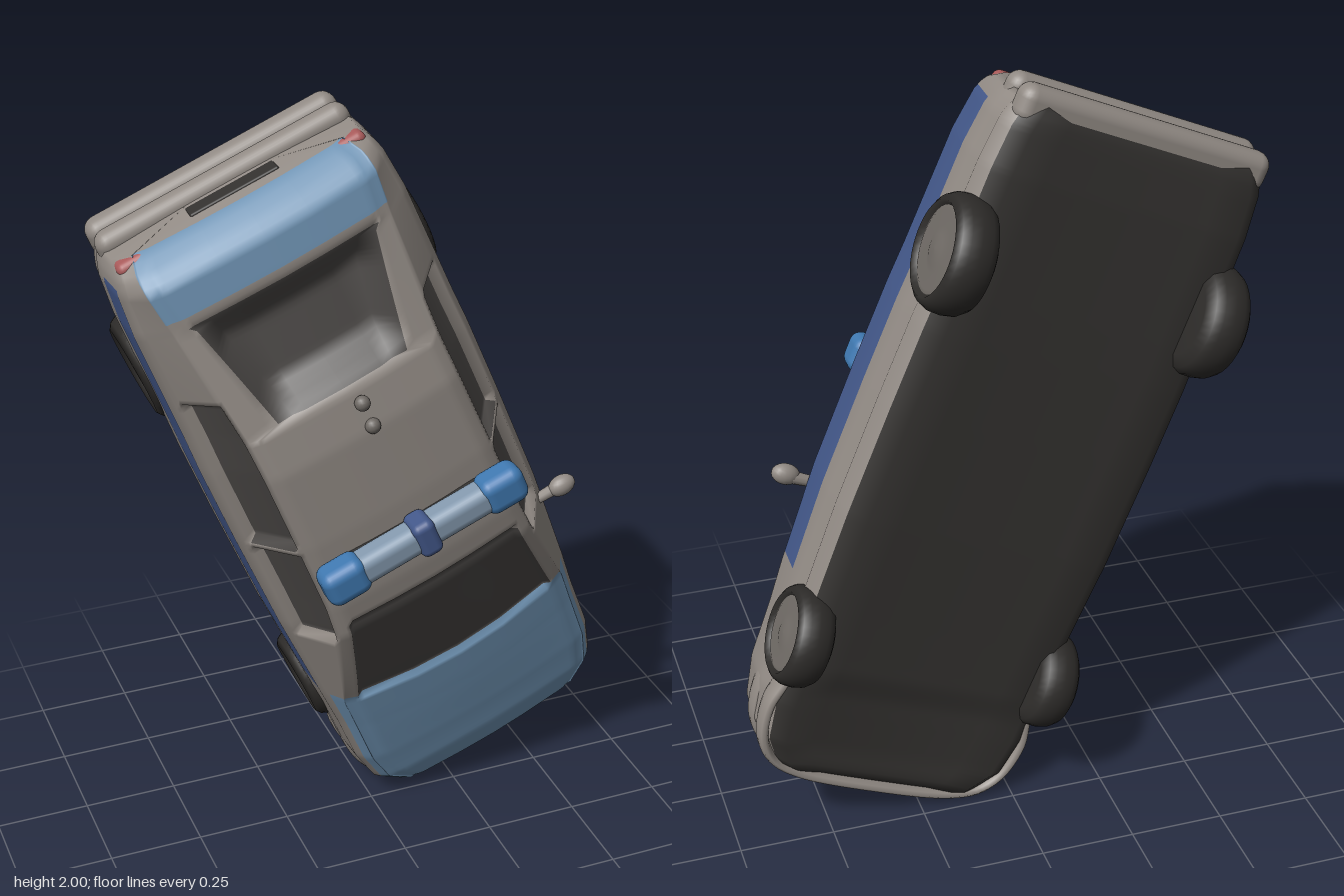
import * as THREE from 'three';
import { RoundedBoxGeometry } from 'three/addons/geometries/RoundedBoxGeometry.js';

const mat = (color) => new THREE.MeshStandardMaterial({ color });
const paint = mat(0x918a84), dark = mat(0x33312f), glass = mat(0x4b4846), blue = mat(0x6f93b3);
const stripe = mat(0x43588a), red = mat(0xa85a5a), lampBlue = mat(0x3f78b0), rubber = mat(0x2d2b29), rim = mat(0x6f6a65);
const { lerp, smoothstep } = THREE.MathUtils;

// Stations along the car, nose to tail:
// [y, half width, floor z, belt z, top half width, top z]
const stations = [
  [-0.966, 0.24, -0.21, -0.06, 0.18, -0.035],
  [-0.94, 0.305, -0.235, -0.03, 0.26, -0.005],
  [-0.87, 0.358, -0.248, 0.0, 0.315, 0.025],
  [-0.76, 0.378, -0.25, 0.02, 0.335, 0.05],
  [-0.6, 0.378, -0.25, 0.04, 0.335, 0.08],
  [-0.48, 0.383, -0.252, 0.055, 0.335, 0.105],
  [-0.2, 0.393, -0.258, 0.07, 0.28, 0.235],
  [-0.1, 0.393, -0.258, 0.07, 0.27, 0.25],
  [0.1, 0.393, -0.258, 0.07, 0.265, 0.256],
  [0.32, 0.39, -0.257, 0.07, 0.26, 0.25],
  [0.43, 0.385, -0.255, 0.07, 0.26, 0.23],
  [0.74, 0.377, -0.245, 0.07, 0.285, 0.145],
  [0.85, 0.365, -0.235, 0.06, 0.3, 0.125],
  [0.885, 0.353, -0.23, 0.05, 0.3, 0.085],
  [0.915, 0.335, -0.215, 0.0, 0.28, 0.025],
];
const inRange = (v, a, b) => v > a && v < b;
const sideWindow = (y) => inRange(y, -0.22, 0.07) || inRange(y, 0.1, 0.53);
const windshield = (y) => inRange(y, -0.47, -0.17);
const rearWindow = (y) => inRange(y, 0.44, 0.74);

function station(y) {
  let i = 0;
  while (i < stations.length - 2 && y > stations[i + 1][0]) i++;
  const a = stations[i], b = stations[i + 1], t = (y - a[0]) / (b[0] - a[0]);
  return a.map((v, k) => lerp(v, b[k], t));
}

// Half of a cross-section, from the middle of the floor to the middle of the roof
function halfSection(y) {
  const [, w, floor, belt, tw, top] = station(y);
  const h = (f) => lerp(floor, belt, f);
  const side = (f, inset = 0) => [lerp(0.95 * w, tw, f) - inset, lerp(belt, top, f) - inset * 0.4];
  const pane = sideWindow(y) ? 0.022 : 0;
  // the rear window is a hollow with sloping walls, the windshield a shallow step
  const dip = 0.075 * smoothstep(y, 0.43, 0.52) * (1 - smoothstep(y, 0.64, 0.76)) + (windshield(y) ? 0.018 : 0);
  // shallow pan under the nose
  const pan = 0.01 + 0.015 * smoothstep(y, -0.93, -0.86) * (1 - smoothstep(y, -0.72, -0.62));
  const rear = rearWindow(y), inner = rear ? lerp(0.68, 0.86, (y - 0.44) / 0.3) : 0.9;
  return [
    [0, floor + pan], [0.6 * w, floor + pan], [0.83 * w, floor], [0.94 * w, h(0.11)],
    [0.985 * w, h(0.27)], [0.97 * w, h(0.33)], [w, h(0.42)], [w, h(0.6)], [0.985 * w, h(0.93)],
    [0.95 * w, belt], side(0.08), side(0.13, pane), side(0.84, pane), side(0.9),
    [tw, top - 0.008], [lerp(inner, 1, 0.3) * tw, top], [inner * tw, top + 0.003],
    [(inner - (rear ? 0.16 : 0.05)) * tw, top + 0.005 - dip], [0.4 * tw, top + 0.013 - dip], [0, top + 0.016 - dip],
  ];
}

// Which part a patch of the body skin belongs to
function partAt(y, k) {
  if (k < 3) return 'underbody';
  if (k === 7 && inRange(y, -0.45, 0.86)) return 'sideStripe';
  if (k === 11 && sideWindow(y)) return 'sideWindows';
  if (k >= 16 && windshield(y)) return 'windshield';
  if (k >= 16 && rearWindow(y)) return 'rearWindow';
  if (k >= 10 && y < -0.47) return 'hood';
  if (k >= 12 && y > 0.77) return 'trunkLid';
  return 'bodyPanels';
}

function buildBody() {
  const ys = [], first = stations[0][0], last = stations.at(-1)[0], rows = 140;
  for (let i = 0; i <= rows; i++) ys.push(lerp(first, last, i / rows));
  const pos = [];
  let ring = 0, half = 0;
  for (const y of ys) {
    const s = halfSection(y);
    half = s.length - 1;
    const loop = [...s, ...s.slice(1, -1).reverse().map(([x, z]) => [-x, z])];
    ring = loop.length;
    // the windshield bows forward in the middle
    const bow = 0.05 * smoothstep(-y, 0.1, 0.45) * (1 - smoothstep(-y, 0.55, 0.85));
    for (const [x, z] of loop) pos.push(x, y - (z > 0 ? bow * (1 - (x / 0.4) ** 2) : 0), z);
  }
  const faces = {};
  const add = (name, ...ids) => (faces[name] ??= []).push(...ids);
  for (let i = 0; i < rows; i++) for (let j = 0; j < ring; j++) {
    const a = i * ring + j, b = i * ring + (j + 1) % ring, c = a + ring, d = b + ring;
    add(partAt((ys[i] + ys[i + 1]) / 2, j < half ? j : ring - 1 - j), a, c, b, b, c, d);
  }
  // nose and tail caps
  const n = pos.length / 3;
  pos.push(0, first - 0.008, -0.13, 0, last + 0.012, -0.1);
  for (let j = 0; j < ring; j++) {
    const k = (j + 1) % ring, e = rows * ring;
    add('bodyPanels', n, j, k, n + 1, e + k, e + j);
  }
  const whole = new THREE.BufferGeometry();
  whole.setAttribute('position', new THREE.Float32BufferAttribute(pos, 3));
  whole.setIndex(Object.values(faces).flat());
  whole.computeVertexNormals();
  const mats = { underbody: dark, sideStripe: stripe, sideWindows: glass, windshield: glass, rearWindow: glass, hood: blue, trunkLid: blue };
  const body = new THREE.Group();
  body.name = 'body';
  for (const [name, ids] of Object.entries(faces)) {
    const g = new THREE.BufferGeometry();
    g.setAttribute('position', whole.getAttribute('position'));
    g.setAttribute('normal', whole.getAttribute('normal'));
    g.setIndex(ids);
    const m = new THREE.Mesh(g, mats[name] ?? paint);
    m.name = name;
    body.add(m);
  }
  return body;
}

// w is half the wheel's width
function buildWheel(name, side, x, y, z, r, w) {
  const wheel = new THREE.Group();
  wheel.name = name;
  const lathe = (pts, m, part) => {
    const mesh = new THREE.Mesh(new THREE.LatheGeometry(pts.map(([a, b]) => new THREE.Vector2(a * r, b * w)), 36), m);
    mesh.name = part;
    wheel.add(mesh);
  };
  lathe([[0, -1.1], [0.7, -1.1], [0.9, -0.85], [0.98, -0.5], [1, 0], [0.98, 0.45], [0.91, 0.8], [0.8, 1], [0.73, 0.75]], rubber, 'tyre');
  lathe([[0.76, 0.74], [0.66, 0.84], [0.4, 0.76], [0.25, 0.88], [0, 0.92]], rim, 'hub');
  wheel.position.set(x, y, z);
  wheel.rotation.z = -side * Math.PI / 2;
  return wheel;
}

export function createModel() {
  const model = new THREE.Group(), car = new THREE.Group();
  model.name = 'patrolCar';
  car.name = 'car';
  const put = (name, geo, m, x, y, z) => {
    const mesh = new THREE.Mesh(geo, m);
    mesh.name = name;
    mesh.position.set(x, y, z);
    car.add(mesh);
    return mesh;
  };
  const box = (name, m, w, l, h, x, y, z, r = 0.015) => put(name, new RoundedBoxGeometry(w, l, h, 3, r), m, x, y, z);

  car.add(buildBody());
  for (const s of [-1, 1]) {
    const label = s > 0 ? 'left' : 'right';
    car.add(buildWheel(label + 'RearWheel', s, s * 0.35 + 0.01, 0.515, -0.212, 0.148, 0.058));
    car.add(buildWheel(label + 'FrontWheel', s, s * 0.353, -0.572, -0.195, 0.132, 0.052));
    box(label + 'TailLight', red, 0.15, 0.06, 0.08, s * 0.26, 0.883, 0.003, 0.02);
    box(label + 'BeaconLamp', lampBlue, 0.12, 0.1, 0.09, s * 0.225 + 0.012, 0.015, 0.312, 0.03);
    put(label + 'Headlight', new THREE.SphereGeometry(0.018, 16, 10), rim, s * 0.25, -0.955, -0.06);
  }

  // light bar across the roof
  box('lightBar', mat(0x8398ad), 0.44, 0.08, 0.08, 0.012, 0.015, 0.31, 0.028);
  box('lightBarCentre', stripe, 0.06, 0.1, 0.09, 0.012, 0.015, 0.315, 0.02);
  box('lightBarMount', dark, 0.38, 0.055, 0.03, 0.012, 0.015, 0.268, 0.01);

  // bumper ridges wrapping the nose, their ends sunk into the sides
  const plan = [[0.35, -0.7], [0.366, -0.78], [0.346, -0.88], [0.3, -0.936], [0.22, -0.964], [0, -0.975]];
  const outline = [...plan, ...plan.slice(0, -1).reverse().map(([x, y]) => [-x, y])];
  for (const z of [-0.1, -0.195]) {
    const path = new THREE.CatmullRomCurve3(outline.map(([x, y]) => new THREE.Vector3(x, y, 0)));
    const geo = new THREE.TubeGeometry(path, 60, 0.015, 10).scale(1, 1, 2.4);
    put('frontBumper', geo, paint, 0, 0, z);
  }
  box('grille', dark, 0.36, 0.02, 0.04, 0, -0.968, -0.15, 0.008);

  // rear bumper in two ridges
  box('rearBumperUpper', paint, 0.69, 0.1, 0.075, 0, 0.902, -0.09, 0.035);
  box('rearBumperLower', paint, 0.69, 0.1, 0.08, 0, 0.902, -0.175, 0.035);
  box('plateRecess', dark, 0.24, 0.02, 0.05, 0, 0.913, -0.02, 0.006);

  // single door mirror with its arm
  const mirror = put('doorMirror', new THREE.SphereGeometry(0.035, 18, 12), paint, 0.44, -0.262, 0.068);
  mirror.scale.set(1.1, 0.8, 0.75);
  const arm = put('mirrorArm', new THREE.CylinderGeometry(0.014, 0.018, 0.1, 10), paint, 0.39, -0.265, 0.062);
  arm.rotation.z = Math.PI / 2;

  // aerial studs on the roof
  for (const y of [0.33, 0.4]) put('aerialStud', new THREE.SphereGeometry(0.02, 14, 10), rim, 0.02, y, 0.265);

  // the car balances on its nose, leaning to one side
  car.rotation.z = THREE.MathUtils.degToRad(22.5);
  car.position.set(0.008, 1, 0);
  model.add(car);
  return model;
}
